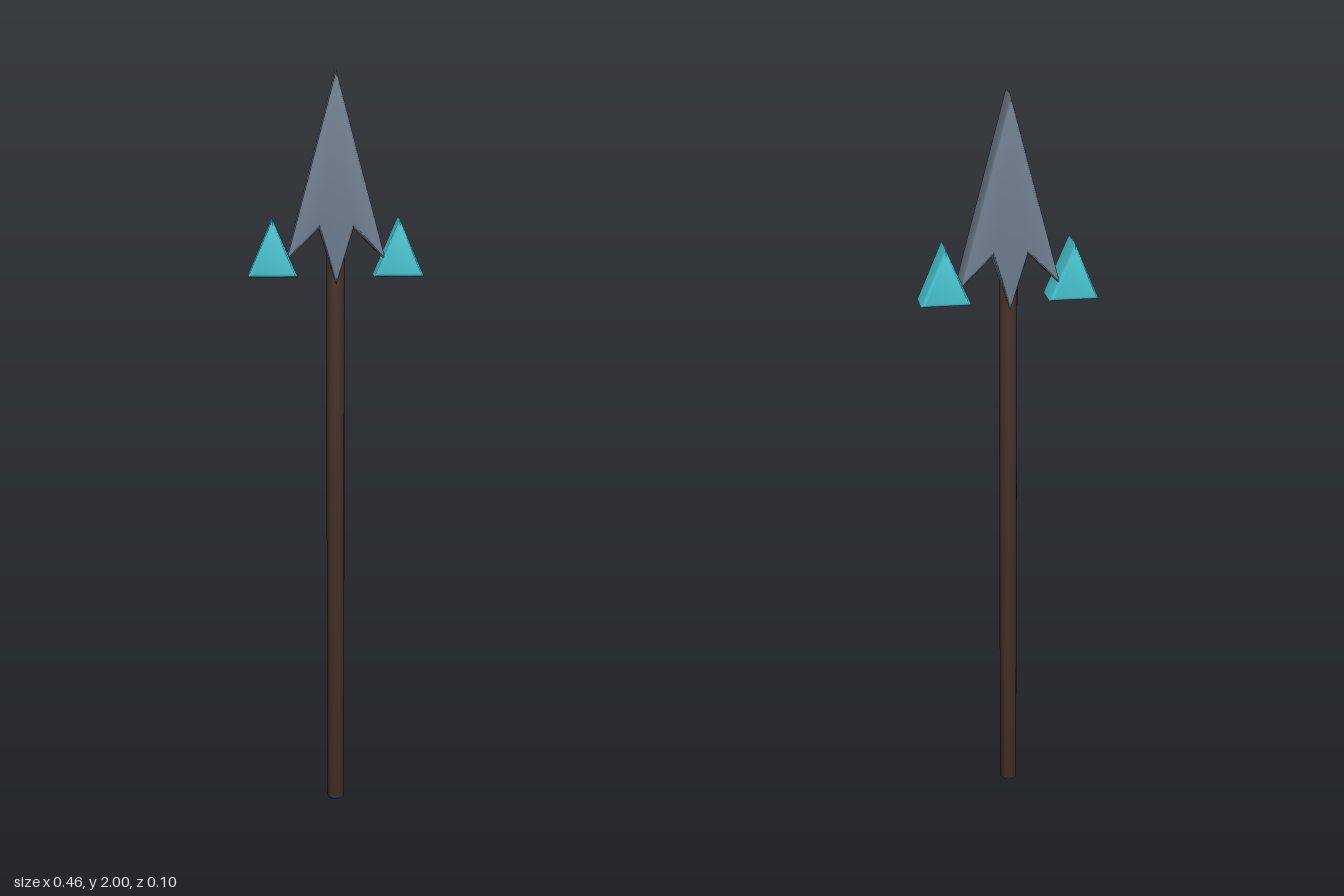
import * as THREE from 'three';
import { toCreasedNormals } from 'three/addons/utils/BufferGeometryUtils.js';

const material = (color) => new THREE.MeshStandardMaterial({ color });

// Flat outline made into a plate centred on z = 0, with rounded rims inside the outline
function plate(points, thickness, bevel) {
  const shape = new THREE.Shape(points.map(([x, y]) => new THREE.Vector2(x, y)));
  const depth = thickness - 2 * bevel;
  const geometry = new THREE.ExtrudeGeometry(shape, {
    depth,
    bevelThickness: bevel,
    bevelSize: bevel,
    bevelOffset: -bevel,
    bevelSegments: 3,
  });
  geometry.translate(0, 0, -depth / 2);
  return toCreasedNormals(geometry, 0.65);
}

function add(group, name, geometry, mat) {
  const mesh = new THREE.Mesh(geometry, mat);
  mesh.name = name;
  group.add(mesh);
  return mesh;
}

export function createModel() {
  const model = new THREE.Group();
  model.name = 'spear';

  // Round wooden shaft with softened ends, running up into the head
  const r = 0.024, top = 1.62, soft = 0.008;
  const profile = [
    [0, 0], [r - soft, 0], [r - 0.002, 0.003], [r, soft],
    [r, top - soft], [r - soft, top], [0, top],
  ].map(([x, y]) => new THREE.Vector2(x, y));
  const shaft = toCreasedNormals(new THREE.LatheGeometry(profile, 16), 0.65);
  add(model, 'shaft', shaft, material(0x46342a));

  // Barbed arrow-shaped head with a central spike below
  const head = [
    [0, 2], [-0.13, 1.515], [-0.045, 1.6], [0, 1.455], [0.045, 1.6], [0.13, 1.515],
  ];
  add(model, 'head', plate(head, 0.085, 0.012), material(0x708090));

  // Triangular gem on each barb
  const gem = plate([[-0.065, 1.475], [0.065, 1.475], [0, 1.625]], 0.096, 0.012);
  const gemMaterial = material(0x48c8d4);
  for (const side of [1, -1]) {
    add(model, side > 0 ? 'leftGem' : 'rightGem', gem, gemMaterial).position.x = side * 0.165;
  }
  return model;
}
